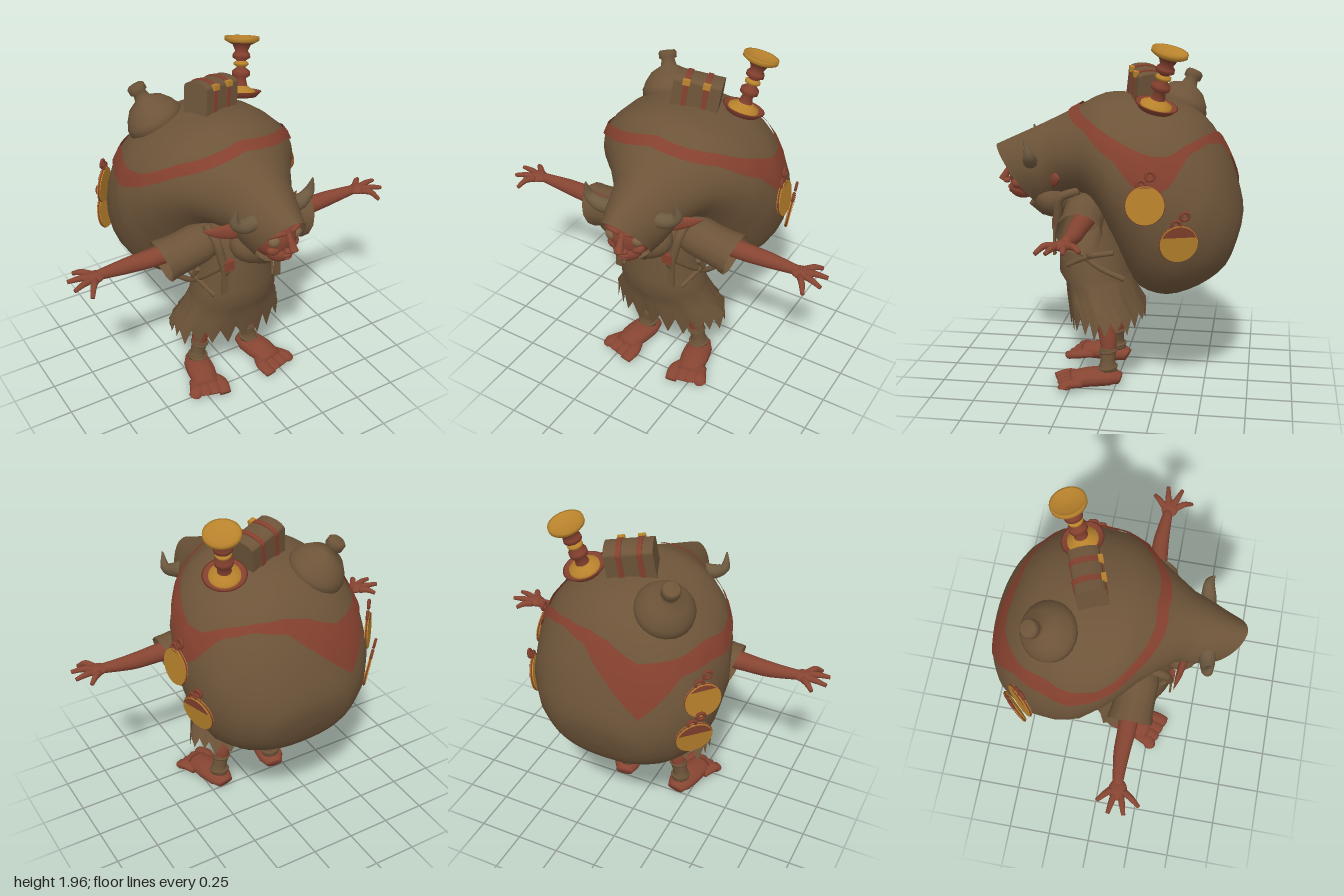
import * as THREE from 'three';

const mat = (name, color, side = THREE.FrontSide) => {
  const m = new THREE.MeshStandardMaterial({ color, side });
  m.name = name;
  return m;
};
const V = (x, y, z) => new THREE.Vector3(x, y, z);

// surface from an (n+1) x m grid of points, optionally wrapped around
function grid(n, m, fn, wrap = true) {
  const pos = [], idx = [], cols = wrap ? m : m + 1;
  for (let i = 0; i <= n; i++)
    for (let j = 0; j < cols; j++) pos.push(...fn(i / n, j / m, i, j));
  for (let i = 0; i < n; i++)
    for (let j = 0; j < m; j++) {
      const a = i * cols + j, b = i * cols + (j + 1) % cols;
      idx.push(a, b, a + cols, b, b + cols, a + cols);
    }
  const g = new THREE.BufferGeometry();
  g.setAttribute('position', new THREE.Float32BufferAttribute(pos, 3));
  g.setIndex(idx);
  g.computeVertexNormals();
  return g;
}
const lerpList = (list, t) => {
  const f = t * (list.length - 1), i = Math.min(Math.floor(f), list.length - 2);
  return list[i] + (list[i + 1] - list[i]) * (f - i);
};
const signPow = (v, e) => Math.sign(v) * Math.abs(v) ** e;

// tube of varying radius along a smooth path
function limbGeo(pts, radii, capped = true, m = 12) {
  const curve = new THREE.CatmullRomCurve3(pts.map(p => V(...p)));
  const n = Math.max(8, pts.length * 4), fr = curve.computeFrenetFrames(n);
  return grid(n + 2, m, (t, u, i) => {
    const k = THREE.MathUtils.clamp(i - 1, 0, n), a = u * Math.PI * 2;
    const r = capped && (i === 0 || i === n + 2) ? 0 : lerpList(radii, k / n);
    return curve.getPoint(k / n).addScaledVector(fr.normals[k], r * Math.cos(a))
      .addScaledVector(fr.binormals[k], r * Math.sin(a)).toArray();
  });
}

export function createModel() {
  const root = new THREE.Group();
  const cloth = mat('brown cloth', 0x6d5439, THREE.DoubleSide);
  const skin = mat('russet skin', 0x874532);
  const red = mat('red leather', 0x84402e, THREE.DoubleSide);
  const gold = mat('old gold', 0xb8822c);
  const horn = mat('horn', 0x6e5a40);
  const eye = mat('eye', 0x7d6345);
  const add = (name, geo, m, parent = root) => {
    const mesh = new THREE.Mesh(geo, m);
    mesh.name = name;
    parent.add(mesh);
    return mesh;
  };
  const limb = (name, m, pts, radii, parent = root, capped = true) =>
    add(name, limbGeo(pts, radii, capped), m, parent);
  const ball = (name, m, p, s, parent = root) => {
    const b = add(name, new THREE.SphereGeometry(1, 20, 14), m, parent);
    b.position.set(...p);
    b.scale.set(...s);
    return b;
  };

  // sack and hood: rings of [top z, top y, bottom z, bottom y, half width, x shift]
  const rings = [
    [-.665, .86, -.665, .86, 0, 0], [-.695, 1.02, -.6, .72, .24, 0], [-.66, 1.19, -.46, .61, .39, 0],
    [-.59, 1.37, -.28, .55, .49, 0], [-.46, 1.55, -.13, .59, .53, 0], [-.28, 1.64, -.05, .73, .54, 0],
    [-.05, 1.67, .03, .91, .49, 0], [.09, 1.665, .1, 1.03, .42, 0], [.24, 1.59, .17, 1.1, .32, .01],
    [.42, 1.5, .3, 1.09, .2, .03], [.56, 1.435, .38, 1.04, .17, .03], [.7, 1.37, .43, 1.01, .13, .03]];
  const tops = new THREE.CatmullRomCurve3(rings.map(r => V(r[5], r[1], r[0])));
  const bots = new THREE.CatmullRomCurve3(rings.map(r => V(r[5], r[3], r[2])));
  const wide = rings.map(r => r[4]);
  const sack = add('sackAndHood', grid(33, 32, (t, u) => {
    const a = u * Math.PI * 2, p = tops.getPoint(t), q = bots.getPoint(t);
    const c = p.clone().add(q).multiplyScalar(.5), e = .88 + .22 * t;
    const o = p.sub(c).multiplyScalar(signPow(Math.cos(a), e)).add(c);
    return [o.x - lerpList(wide, t) * signPow(Math.sin(a), e), o.y, o.z];
  }), cloth);

  // point on the sack in a given direction from its middle
  const mid = V(0, 1.1, -.2), ray = new THREE.Raycaster();
  const onSack = (dir, off) => {
    const d = dir.clone().normalize();
    ray.set(mid.clone().addScaledVector(d, 2), d.clone().negate());
    const hit = ray.intersectObject(sack)[0];
    return (hit ? hit.point : mid.clone().addScaledVector(d, .5)).addScaledVector(d, off);
  };

  // scarf around the sack: [azimuth, upper elevation, lower elevation]
  const scarf = [[0, 52, 46], [45, 46, 40], [72, 39, 28], [92, 33, 9], [104, 33, 17], [118, 40, 34], [140, 46, 41],
    [165, 49, 40], [185, 46, 24], [208, 35, 1], [235, 34, 24], [258, 37, 25], [275, 33, 22], [290, 34, 27], [315, 43, 37], [360, 52, 46]];
  add('scarf', grid(90, 6, (t, u) => {
    const az = t * 360, k = Math.max(1, scarf.findIndex(s => s[0] >= az));
    const [a, b] = [scarf[k - 1], scarf[k]], f = (az - a[0]) / (b[0] - a[0]);
    const el = THREE.MathUtils.degToRad(THREE.MathUtils.lerp(
      a[1] + (b[1] - a[1]) * f, a[2] + (b[2] - a[2]) * f, 1 - u));
    const r = THREE.MathUtils.degToRad(az);
    return onSack(V(Math.sin(r) * Math.cos(el), Math.sin(el), Math.cos(r) * Math.cos(el)), .012).toArray();
  }, false), red);

  // hanging gold discs: centre on sack, facing direction, start angle of the dark patch
  for (const [p, n, start] of [[[.55, 1.17, -.21], [1, .1, -.12], 1.2], [[.52, .97, -.38], [.93, -.15, -.3], .4],
    [[-.49, 1.17, -.43], [-.73, .05, -.68], .75], [[-.45, .97, -.47], [-.7, -.15, -.7], .35]]) {
    const disc = new THREE.Group();
    disc.name = 'hangingDisc';
    disc.position.copy(onSack(V(...p).sub(mid), .025));
    disc.lookAt(disc.position.clone().add(V(...n)));
    root.add(disc);
    add('discPlate', new THREE.CylinderGeometry(.1, .1, .018, 28).rotateX(Math.PI / 2), gold, disc);
    add('discRim', new THREE.TorusGeometry(.099, .005, 6, 28), red, disc);
    const patch = new THREE.Shape().absarc(0, 0, .096, start, Math.PI - start);
    add('discPatch', new THREE.ShapeGeometry(patch, 12).translate(0, 0, .012), red, disc);
    for (const x of [-.02, .025])
      add('discLoop', new THREE.TorusGeometry(.022, .009, 6, 14).translate(x, .125 + x, 0), red, disc);
  }

  // goods on top, each standing along its own axis
  const stand = (name, from, to) => {
    const g = new THREE.Group();
    g.name = name;
    g.position.set(...from);
    g.quaternion.setFromUnitVectors(V(0, 1, 0), V(...to).sub(V(...from)).normalize());
    root.add(g);
    return g;
  };
  const lathe = (name, m, prof, parent) =>
    add(name, new THREE.LatheGeometry(prof.map(p => new THREE.Vector2(...p)), 24), m, parent);
  const candle = stand('candlestick', [.27, 1.62, -.225], [.33, 1.94, -.31]);
  lathe('tray', red, [[0, 0], [.09, 0], [.118, .03], [.108, .032], [.08, .015], [0, .015]], candle);
  lathe('base', gold, [[.085, .015], [.083, .033], [.05, .05], [.038, .06]], candle);
  lathe('stem', red, [[.038, .06], [.028, .1], [.05, .115], [.05, .14], [.026, .16], [.026, .2], [.05, .215],
    [.048, .235], [.035, .25], [.05, .285], [.08, .3]], candle);
  lathe('knob', gold, [[.026, .165], [.042, .175], [.042, .187], [.026, .197]], candle);
  lathe('cup', gold, [[.08, .3], [.097, .31], [.097, .33], [.085, .33], [.06, .315], [0, .312]], candle);
  const jug = stand('jug', [-.19, 1.47, -.27], [-.3, 1.76, -.39]);
  lathe('jugBody', cloth, [[0, 0], [.11, .02], [.16, .09], [.16, .13], [.15, .145], [.14, .17], [.1, .22], [.045, .25],
    [.036, .285], [.05, .292], [.05, .325], [.04, .335], [0, .337]], jug);
  const box = new THREE.Group();
  box.name = 'chest';
  box.position.set(.035, 1.69, -.15);
  box.rotation.set(-.08, .35, -.12);
  root.add(box);
  add('chestBody', new THREE.BoxGeometry(.26, .16, .16).translate(0, .01, 0), cloth, box);
  add('chestLid', new THREE.CylinderGeometry(.08, .08, .26, 16).rotateZ(Math.PI / 2).scale(1, .4, 1).translate(0, .09, 0), cloth, box);
  for (const x of [-.06, .05]) {
    add('chestStrap', new THREE.BoxGeometry(.028, .17, .172).translate(x, .01, 0), red, box);
    add('chestStrapTop', new THREE.CylinderGeometry(.086, .086, .028, 16).rotateZ(Math.PI / 2).scale(1, .45, 1).translate(x, .09, 0), red, box);
    add('chestBuckle', new THREE.BoxGeometry(.04, .03, .025).translate(x, .1, .08), gold, box);
  }

  // ragged tunic: [y, half width, back z, front z] from hem to collar
  const tunic = [[.4, .35, -.15, .275], [.52, .3, -.105, .3], [.61, .255, -.07, .31], [.65, .262, -.06, .345],
    [.74, .235, -.05, .345], [.87, .21, -.02, .34], [1, .2, 0, .33], [1.1, .18, .03, .31], [1.16, .08, .1, .26]];
  add('tunic', grid(tunic.length - 1, 44, (t, u, i, j) => {
    const [y, w, zb, zf] = tunic[i], a = u * Math.PI * 2;
    const jag = i ? 0 : j % 2 ? .04 : -.03 - .035 * Math.sin(j * 1.1) ** 2 - .015 * Math.cos(a);
    const fold = i < 2 ? 1 + .025 * Math.sin(a * 9) : 1;
    return [Math.sin(a) * w * fold, y + jag - (i === 2 ? .02 * Math.cos(a) : 0),
      (zb + zf) / 2 + Math.cos(a) * (zf - zb) / 2 * fold];
  }), cloth);
  // cowl closing the hood under the chin
  ball('cowl', cloth, [.02, 1.08, .37], [.165, .12, .12]);
  limb('cowlFront', cloth, [[.03, 1.1, .46], [.02, 1.04, .39], [0, .98, .32]], [.09, .09, .04]);

  // head and face, turned slightly aside
  const head = new THREE.Group();
  head.name = 'head';
  head.position.set(.03, 1.2, .5);
  head.rotation.y = .13;
  root.add(head);
  ball('skull', skin, [0, .02, 0], [.128, .15, .13], head);
  ball('jaw', skin, [0, -.07, .05], [.082, .065, .08], head);
  limb('nose', skin, [[0, .06, .115], [0, 0, .15], [0, -.03, .165]], [.014, .02, .026], head);
  ball('upperLip', skin, [0, -.07, .118], [.036, .014, .02], head);
  ball('lowerLip', skin, [0, -.09, .113], [.03, .013, .02], head);

  for (const s of [-1, 1]) {
    ball('eyeball', eye, [s * .073, .025, .092], [.034, .032, .028], head);
    limb('brow', skin, [[s * .02, .066, .12], [s * .07, .072, .108], [s * .115, .045, .07]], [.012, .015, .01], head);
    ball('cheek', skin, [s * .06, -.035, .075], [.045, .035, .035], head);
    ball('nostril', skin, [s * .022, -.03, .14], [.018, .015, .02], head);
    const ear = limb('ear', skin, [[s * .08, 0, 0], [s * .18, .01, 0], [s * .27, .025, 0], [s * .34, .045, 0]], [.03, .05, .032, .003], head);
    ear.scale.z = .45;
    ear.position.z = -.08;
    ear.rotation.y = s * .3;
    limb('horn', horn, [[s * .11, .115, -.01], [s * .19, .115, -.01], [s * .25, .155, -.01], [s * .255, .245, .01]],
      [.045, .042, .03, .004], head);

    // arms
    limb('sleeve', cloth, [[s * .1, 1.05, .17], [s * .22, 1.03, .165], [s * .34, 1, .16], [s * .45, .98, .155]],
      [.08, .115, .115, .12], root, false);
    limb('sleeveCuff', cloth, [[s * .42, .985, .155], [s * .455, .975, .155]], [.122, .126], root, false);
    limb('arm', skin, [[s * .2, 1.03, .14], [s * .5, 1.02, .15], [s * .65, 1.02, .145], [s * .83, 1.03, .155]],
      [.06, .052, .045, .027]);
    ball('palm', skin, [s * .855, 1.03, .16], [.06, .024, .05]);
    for (const [x, y, z, z0] of [[.93, 1.02, .06, .125], [.99, 1.03, .13, .15], [.985, 1.025, .215, .175], [.92, 1.0, .285, .195]])
      limb('finger', skin, [[s * .86, 1.03, z0], [s * (.86 + x) / 2, 1.035, (z + z0) / 2], [s * x, y, z]], [.019, .017, .011]);

    // legs, wraps and feet
    limb('leg', skin, [[s * .13, .6, .12], [s * .14, .47, .11], [s * .148, .37, .07], [s * .158, .27, .045], [s * .175, .16, .045], [s * .185, .07, .045]],
      [.07, .062, .05, .05, .036, .045]);
    ball('kneecap', skin, [s * .145, .4, .115], [.04, .05, .032]);
    limb('ankleWrap', cloth, [[s * .163, .225, .045], [s * .17, .19, .045], [s * .178, .15, .045], [s * .183, .1, .045]], [.05, .045, .043, .055]);
    for (const [y, r] of [[.118, .05], [.21, .044]])
      add('wrapBand', new THREE.TorusGeometry(r, .01, 6, 18).rotateX(Math.PI / 2 + .15).translate(s * (.2 - y * .17), y, .045), cloth);
    const foot = new THREE.Group();
    foot.name = 'foot';
    foot.scale.y = .62;
    root.add(foot);
    limb('footBody', skin, [[s * .175, .08, -.025], [s * .185, .1, .04], [s * .205, .1, .13], [s * .23, .08, .25]],
      [.05, .08, .085, .072], foot);
    for (const [k, x] of [.15, .205, .26, .315].entries())
      limb('toe', skin, [[s * (x * .6 + .085), .075, .18], [s * x, .08, .27], [s * (x + .012), .05, .345 - k * .025]], [.035, .042, .035], foot);

    // harness
    limb('shoulderStrap', cloth, [[s * .2, 1.15, .2], [s * .2, 1.11, .3], [s * .18, 1, .325], [s * .16, .9, .335]], [.024, .024, .024, .022]);
    limb('sideStrap', cloth, [[s * .17, .95, .33], [s * .215, .84, .22], [s * .24, .74, .1], [s * .25, .67, -.06]], [.014, .016, .016, .016]);
    limb('backStrap', cloth, [[s * .19, .72, .27], [s * .24, .79, .14], [s * .25, .82, 0]], [.014, .016, .014]);
    add('strapBuckle', new THREE.BoxGeometry(.06, .06, .03).translate(s * .148, .955, .342), red);
    add('strapTail', new THREE.BoxGeometry(.04, .17, .012).translate(s * .17, .86, .345), cloth);
    limb('strapToggle', cloth, [[s * .24, .86, .17], [s * .25, .79, .13]], [.015, .015]);
  }
  return root;
}
